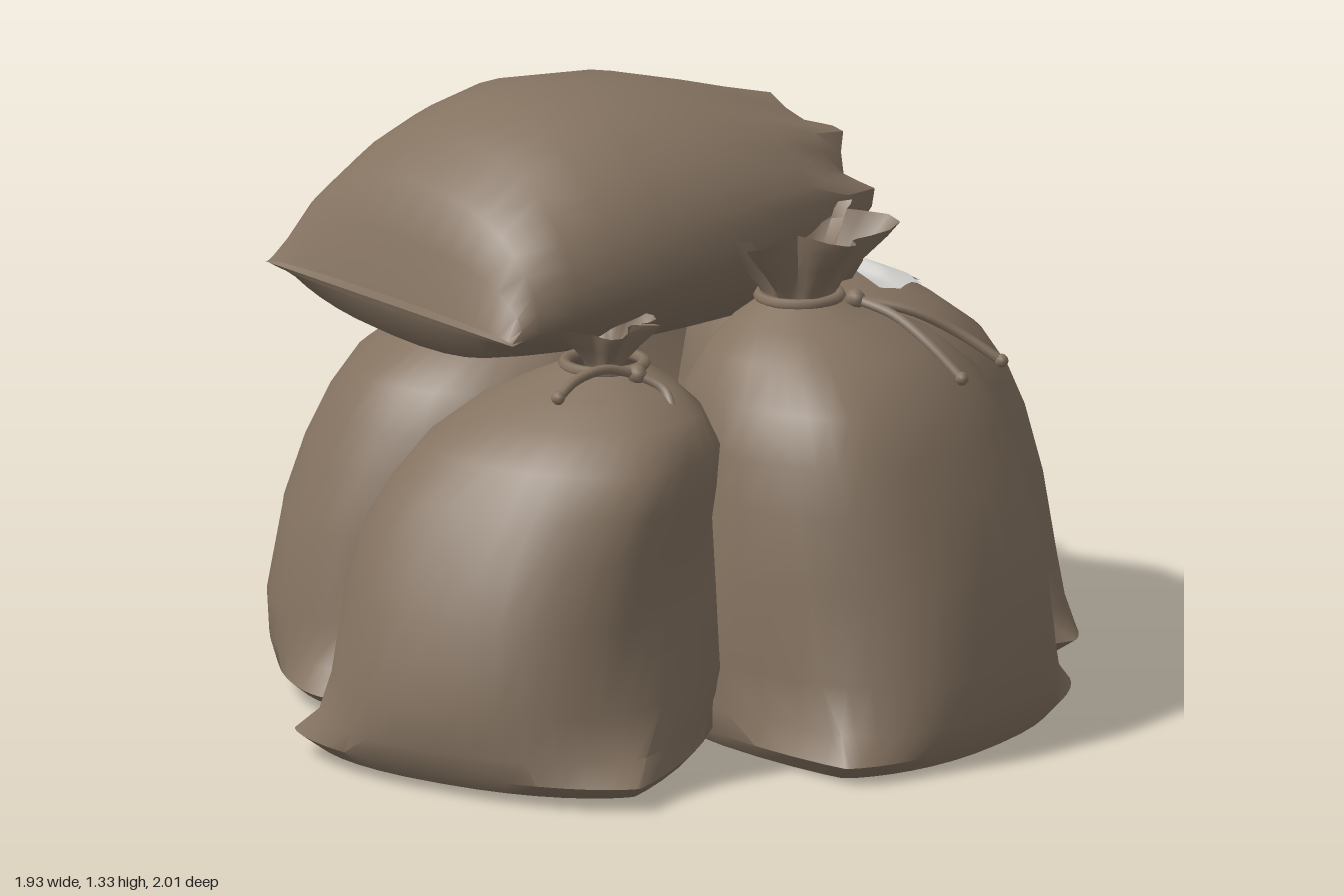
import * as THREE from 'three';
import { toCreasedNormals } from 'three/addons/utils/BufferGeometryUtils.js';

const SEG = 36;
const burlap = new THREE.MeshStandardMaterial({ color: 0x857361, side: THREE.DoubleSide });
burlap.name = 'burlap brown';
const flourWhite = new THREE.MeshStandardMaterial({ color: 0xe2e1de, side: THREE.DoubleSide });
flourWhite.name = 'flour white';

// Skin a list of closed rings; pointAt(row, angle) gives each corner
function loft(rows, pointAt, crease = 0.75) {
  const pos = [], index = [];
  for (let i = 0; i < rows; i++) {
    for (let j = 0; j < SEG; j++) pos.push(...pointAt(i, (j / SEG) * Math.PI * 2));
  }
  for (let i = 0; i < rows - 1; i++) {
    for (let j = 0; j < SEG; j++) {
      const k = (j + 1) % SEG;
      const a = i * SEG + j, b = i * SEG + k, c = a + SEG, d = b + SEG;
      index.push(a, c, b, b, c, d);
    }
  }
  const g = new THREE.BufferGeometry();
  g.setAttribute('position', new THREE.Float32BufferAttribute(pos, 3));
  g.setIndex(index);
  return toCreasedNormals(g, crease);
}

function mesh(name, geometry, material = burlap) {
  const m = new THREE.Mesh(geometry, material);
  m.name = name;
  return m;
}

const power = (s, e) => Math.sign(s) * Math.pow(Math.abs(s), e);

// Upright sack: height, half width, seam offset, front, back, pointedness of the sides
const RINGS = [
  [0.02, 0, 0.02, 0.02, 0.02, 1],
  [0.005, 0.30, 0.06, 0.22, -0.4, 1.3],
  [0.012, 0.40, 0.17, 0.31, -0.5, 1.5],
  [0.045, 0.435, 0.2, 0.335, -0.52, 1.5],
  [0.1, 0.4, 0.14, 0.35, -0.51, 1.2],
  [0.2, 0.385, 0.05, 0.355, -0.49, 0.95],
  [0.4, 0.37, 0, 0.33, -0.45, 0.92],
  [0.55, 0.355, -0.03, 0.28, -0.42, 0.92],
  [0.65, 0.34, -0.05, 0.235, -0.4, 0.92],
  [0.75, 0.31, -0.07, 0.175, -0.39, 0.92],
  [0.83, 0.245, -0.11, 0.085, -0.35, 0.95],
  [0.88, 0.16, -0.16, -0.015, -0.31, 1],
  [0.92, 0.08, -0.185, -0.11, -0.26, 1],
];
const NECK = { y: 0.925, z: -0.185 };

function uprightSack({ name, x, z, out, width = 1, height = 1, lean = 0, ruffle = 0, base = 0, seed }) {
  const sack = new THREE.Group();
  sack.name = name;
  sack.position.set(x, base, z);
  sack.rotation.y = Math.atan2(out[0], out[1]);

  // A sack without a ruffle is folded shut at the top
  const rings = ruffle ? RINGS : [...RINGS.slice(0, -1), [0.9, 0, -0.16, -0.16, -0.16, 1]];
  const body = loft(rings.length, (i, t) => {
    const [y, hw, vc, vf, vb, e] = rings[i];
    const s = Math.sin(t), c = Math.cos(t);
    const depth = s > 0 ? vf - vc : vc - vb;
    const fold = y > 0.08 ? 1 + 0.015 * Math.sin(3 * t + 9 * y + seed) + 0.012 * Math.sin(7 * t - 6 * y + seed * 2) : 1;
    const tilt = lean * THREE.MathUtils.smoothstep(y, 0.45, 0.9);
    return [hw * width * power(c, 0.85) * fold + tilt, y * height, vc + depth * power(s, e) * fold];
  });
  sack.add(mesh('sackBody', body));

  if (ruffle) {
    // Gathered cloth fanning out above the tie
    const levels = [[0, 0.07, 0.05], [0.03, 0.08, 0.12], [0.08, 0.115, 0.2], [0.125, 0.15, 0.25], [0.155, 0.17, 0.26]];
    const frill = mesh('gatheredTop', loft(levels.length, (i, t) => {
      const [y, r, w] = levels[i];
      const wave = Math.cos(6 * t + seed + 0.7 * Math.sin(2 * t));
      const rr = r * (1 + w * wave);
      return [rr * Math.cos(t), y + 0.1 * y * Math.sin(3 * t + seed), rr * Math.sin(t)];
    }, 1));
    frill.position.set(lean, NECK.y * height - 0.01, NECK.z);
    frill.scale.set(ruffle, ruffle, ruffle);
    const tie = mesh('neckTie', new THREE.TorusGeometry(0.085, 0.013, 6, 24));
    tie.rotation.x = Math.PI / 2;
    tie.position.set(lean, NECK.y * height - 0.005, NECK.z);
    sack.add(frill, tie);
  }
  return sack;
}

function cord(points) {
  const curve = new THREE.CatmullRomCurve3(points.map((p) => new THREE.Vector3(...p)));
  const g = new THREE.Group();
  g.name = 'tieCord';
  const end = mesh('cordKnot', new THREE.SphereGeometry(0.015, 8, 6));
  end.position.copy(curve.getPoint(1));
  const knot = mesh('cordKnot', new THREE.SphereGeometry(0.022, 8, 6));
  knot.position.copy(curve.getPoint(0));
  g.add(mesh('cordStrand', new THREE.TubeGeometry(curve, 16, 0.011, 6)), end, knot);
  return g;
}

// Sack lying on top with its mouth open towards +x: x, half width, seam, top, bottom, crumple
function lyingSack() {
  const rings = [
    [-0.655, 0.42, 0.93, 0.945, 0.915, 0],
    [-0.625, 0.415, 0.935, 1.07, 0.85, 0],
    [-0.58, 0.415, 0.945, 1.18, 0.825, 0],
    [-0.48, 0.415, 0.965, 1.265, 0.805, 0],
    [-0.37, 0.42, 0.985, 1.31, 0.79, 0],
    [-0.24, 0.425, 1.005, 1.335, 0.78, 0],
    [0, 0.41, 1.035, 1.31, 0.775, 0],
    [0.18, 0.375, 1.05, 1.26, 0.775, 0],
    [0.29, 0.34, 1.04, 1.225, 0.775, 0.5],
    [0.37, 0.31, 1.03, 1.2, 0.78, 1],
    // Cloth folding back into a wedge-shaped pocket
    [0.1, 0.29, 1.03, 1.04, 1.02, 0],
  ];
  const shell = loft(rings.length, (i, t) => {
    const [x, hw, seam, top, bottom, crumple] = rings[i];
    const s = Math.sin(t), c = Math.cos(t);
    const y = seam + (s > 0 ? (top - seam) * power(s, 1.05) : (seam - bottom) * power(s, 1.4));
    const w = hw * power(c, 0.9) * (1 + 0.05 * crumple * Math.sin(8 * t));
    // The lower lip hangs out a little further than the sides
    const lip = crumple * (0.02 * Math.sin(7 * t + 1) + 0.04 * Math.max(0, -s));
    return [x + lip, y + 0.015 * crumple * Math.sin(9 * t), w];
  }, 0.8);
  // Sewn end closing the sack
  const end = loft(2, (i, t) => {
    const [x, hw, seam, top, bottom] = rings[0];
    const s = Math.sin(t);
    return [x - (i ? 0 : 0.006), seam + (i ? (s > 0 ? top - seam : seam - bottom) * s : 0), hw * Math.cos(t)];
  });
  const g = new THREE.Group();
  g.name = 'openSack';
  g.add(mesh('openSackShell', shell), mesh('sewnEnd', end));
  return g;
}

// Spilled flour draped from the open mouth over the sack below it
function spilledFlour(support) {
  support.updateMatrixWorld(true);
  const ray = new THREE.Raycaster();
  const down = new THREE.Vector3(0, -1, 0);
  const rows = 11;
  return mesh('spilledFlour', loft(rows, (i, t) => {
    const edge = 1 + 0.06 * Math.sin(5 * t + 1) + 0.05 * Math.sin(9 * t) + 0.03 * Math.sin(14 * t + 2);
    const r = 1 - i / (rows - 1);
    const x = 0.49 + 0.205 * r * edge * power(Math.cos(t), 0.8);
    const z = -0.005 + 0.2 * r * edge * power(Math.sin(t), 0.8);
    ray.set(new THREE.Vector3(x, 2, z), down);
    const hit = ray.intersectObject(support, true)[0];
    const ramp = 0.975 - 0.8 * (x - 0.3) - 0.3 * z * z;
    return [x, Math.max(hit ? hit.point.y + 0.012 : 0, ramp), z];
  }, 1), flourWhite);
}

export function createModel() {
  const model = new THREE.Group();
  model.name = 'sackPile';

  const rightSack = uprightSack({ name: 'rightSack', x: 0.6, z: 0.04, out: [1, 0.05], width: 1.04, height: 0.9, base: 0.015, seed: 2 });
  model.add(
    uprightSack({ name: 'frontSack', x: 0.15, z: 0.62, out: [0.34, 0.94], ruffle: 1, seed: 0.5 }),
    uprightSack({ name: 'backSack', x: 0.37, z: -0.615, out: [0.44, -0.9], ruffle: 1, lean: 0.03, seed: 4 }),
    uprightSack({ name: 'backLeftSack', x: -0.29, z: -0.3, out: [-0.72, -0.7], height: 0.9, base: 0.015, seed: 3 }),
    uprightSack({ name: 'frontLeftSack', x: -0.595, z: 0.365, out: [-0.947, 0.32], height: 0.9, lean: 0.09, ruffle: 0.6, base: 0.015, seed: 1.3 }),
    rightSack,
    lyingSack(),
    spilledFlour(rightSack),
  );

  // Loose ends of the ties
  model.add(
    cord([[0.17, 0.915, 0.53], [0.21, 0.89, 0.61], [0.24, 0.84, 0.69], [0.27, 0.775, 0.765]]),
    cord([[0.17, 0.915, 0.53], [0.26, 0.89, 0.61], [0.34, 0.84, 0.67], [0.4, 0.785, 0.735]]),
    cord([[-0.39, 0.84, 0.5], [-0.355, 0.81, 0.55], [-0.375, 0.745, 0.61]]),
    cord([[-0.39, 0.84, 0.5], [-0.46, 0.86, 0.485], [-0.54, 0.85, 0.485], [-0.6, 0.825, 0.5]]),
  );
  return model;
}
